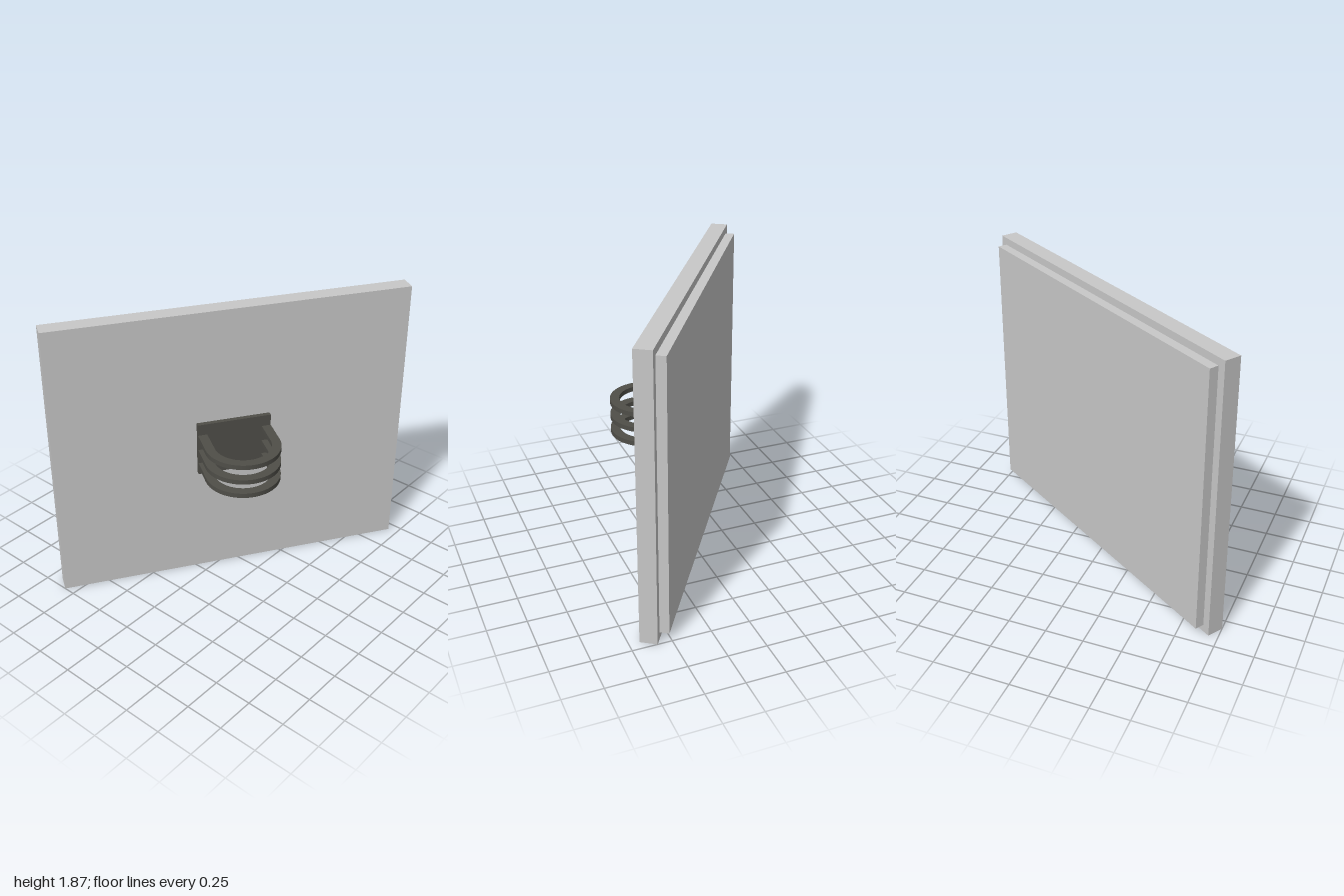
import * as THREE from 'three';
import { toCreasedNormals } from 'three/addons/utils/BufferGeometryUtils.js';

export function createModel() {
  const panelGrey = new THREE.MeshStandardMaterial({ color: 0xc8c8c8 });
  panelGrey.name = 'panel grey';
  const bracketDark = new THREE.MeshStandardMaterial({ color: 0x4f4e48 });
  bracketDark.name = 'bracket dark grey';

  const model = new THREE.Group();
  model.name = 'panelWithHoops';

  // Everything is built square to the panel, then turned about y
  const body = new THREE.Group();
  body.name = 'turnedPanel';
  body.rotation.y = THREE.MathUtils.degToRad(-33);
  body.position.set(0, 0, 0.008);
  model.add(body);

  function add(name, geometry, material, x, y, z) {
    const mesh = new THREE.Mesh(geometry, material);
    mesh.name = name;
    mesh.position.set(x, y, z);
    body.add(mesh);
  }

  // Main slab and the slightly smaller plate behind it
  add('mainSlab', new THREE.BoxGeometry(2.314, 1.872, 0.11), panelGrey, 0, 0.936, 0);
  add('backPlate', new THREE.BoxGeometry(2.212, 1.774, 0.06), panelGrey, 0, 0.936, -0.085);

  // Bracket plate on the front
  add('bracketPlate', new THREE.BoxGeometry(0.48, 0.364, 0.03), bracketDark, 0, 0.936, 0.07);

  // U-shaped hoop outline: straight legs and a half-round end
  const outer = 0.24, inner = 0.18, start = 0.08, bend = 0.262, thick = 0.031;
  const outline = new THREE.Shape();
  outline.moveTo(outer, start);
  outline.lineTo(outer, bend);
  outline.absarc(0, bend, outer, 0, Math.PI, false);
  outline.lineTo(-outer, start);
  outline.lineTo(-inner, start);
  outline.lineTo(-inner, bend);
  outline.absarc(0, bend, inner, Math.PI, 0, true);
  outline.lineTo(inner, start);
  outline.closePath();

  let hoop = new THREE.ExtrudeGeometry(outline, { depth: thick, bevelEnabled: false, curveSegments: 32 });
  hoop.translate(0, 0, -thick / 2);
  hoop.rotateX(Math.PI / 2);
  hoop = toCreasedNormals(hoop, Math.PI / 6);

  // Three stacked hoops
  [1.028, 0.922, 0.823].forEach((y, i) => add('hoop' + (i + 1), hoop, bracketDark, 0, y, 0));

  return model;
}
